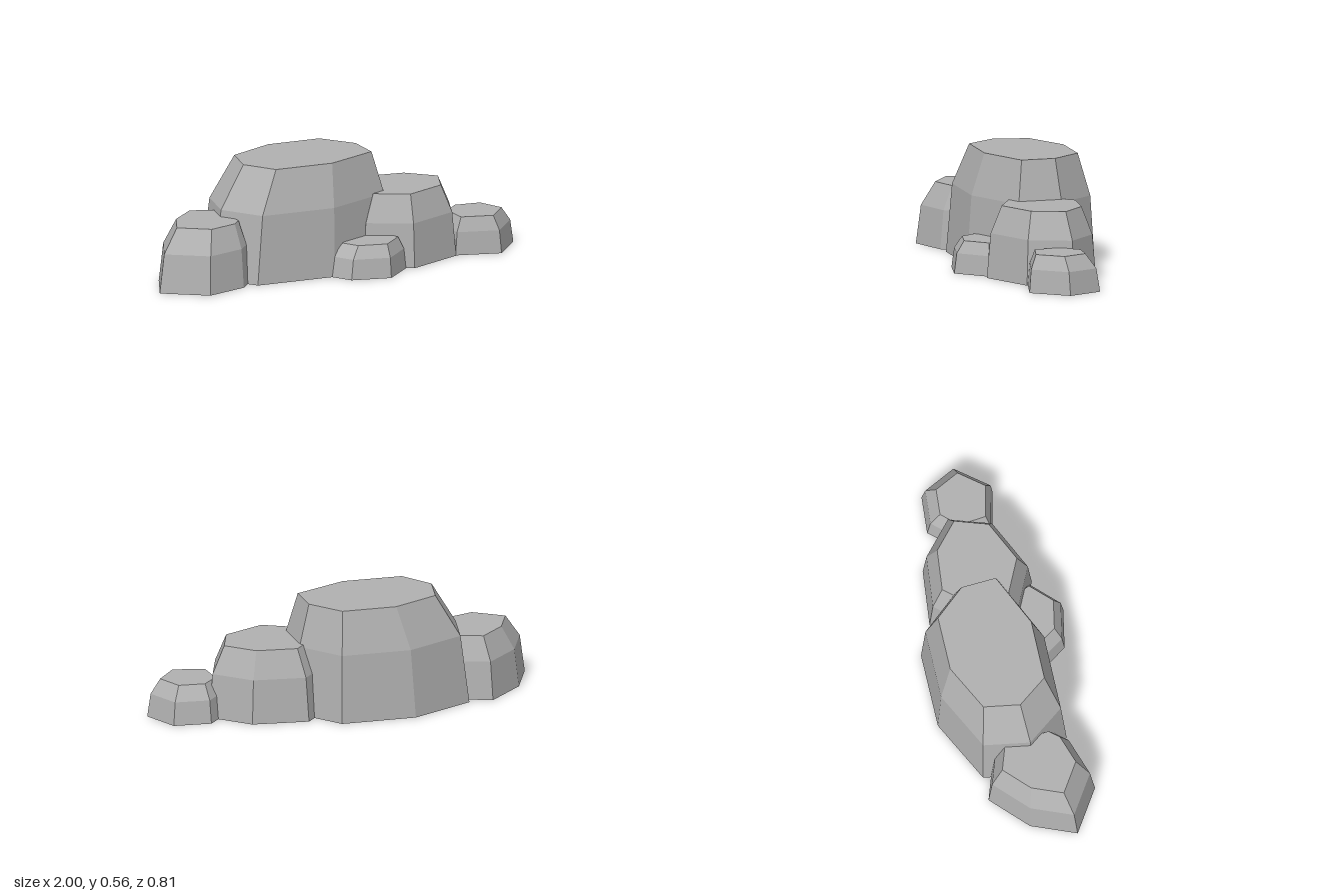
import * as THREE from 'three';

const stone = new THREE.MeshStandardMaterial({ color: 0xb0b0b0, flatShading: true });
stone.name = 'grey stone';

// Faceted rock: the footprint [x, z] (left, back, right, front) tapers towards
// a pivot, gently up to a shoulder and then steeply to a flat top.
function boulder(name, height, taper, [pivotX, pivotZ], footprint) {
  const n = footprint.length;
  const positions = [];
  const index = [];
  const levels = [
    { y: 0, inset: 0 },
    { y: 0.62 * height, inset: 0.26 * taper },
    { y: height, inset: taper },
  ];
  for (const { y, inset } of levels) {
    for (const [x, z] of footprint) {
      positions.push(x + (pivotX - x) * inset, y, z + (pivotZ - z) * inset);
    }
  }

  // Side faces
  for (let r = 0; r < levels.length - 1; r++) {
    for (let i = 0; i < n; i++) {
      const a = r * n + i;
      const b = r * n + (i + 1) % n;
      index.push(b, a, a + n, b, a + n, b + n);
    }
  }
  // Flat top and underside
  const top = (levels.length - 1) * n;
  for (let i = 1; i < n - 1; i++) {
    index.push(top, top + i + 1, top + i);
    index.push(0, i, i + 1);
  }

  const indexed = new THREE.BufferGeometry();
  indexed.setAttribute('position', new THREE.Float32BufferAttribute(positions, 3));
  indexed.setIndex(index);
  const geometry = indexed.toNonIndexed();
  geometry.computeVertexNormals();

  const mesh = new THREE.Mesh(geometry, stone);
  mesh.name = name;
  return mesh;
}

export function createModel() {
  const group = new THREE.Group();
  group.name = 'rockCluster';
  group.add(
    boulder('mainBoulder', 0.563, 0.27, [0.03, -0.06], [
      [-0.63, -0.06], [-0.55, -0.3], [-0.21, -0.405], [0.165, -0.343],
      [0.31, -0.11], [0.285, 0.13], [-0.1, 0.235], [-0.51, 0.165],
    ]),
    boulder('rightBoulder', 0.363, 0.27, [0.4, 0.05], [
      [0.11, 0.17], [0.1, -0.08], [0.3, -0.242], [0.575, -0.167],
      [0.73, 0.02], [0.62, 0.23], [0.32, 0.315],
    ]),
    boulder('leftBoulder', 0.315, 0.31, [-0.62, -0.06], [
      [-1, 0.025], [-0.875, -0.18], [-0.67, -0.32], [-0.5, -0.23],
      [-0.52, 0.1], [-0.59, 0.16], [-0.81, 0.195],
    ]),
    boulder('smallFrontBoulder', 0.163, 0.27, [0.155, 0.22], [
      [-0.12, 0.22], [0, 0.12], [0.25, 0.15],
      [0.285, 0.29], [0.125, 0.405], [-0.065, 0.335],
    ]),
    boulder('smallRightBoulder', 0.188, 0.3, [0.765, 0.165], [
      [0.63, 0.03], [0.755, -0.07], [0.94, -0.025],
      [1, 0.163], [0.835, 0.313], [0.62, 0.225],
    ]),
  );
  return group;
}
